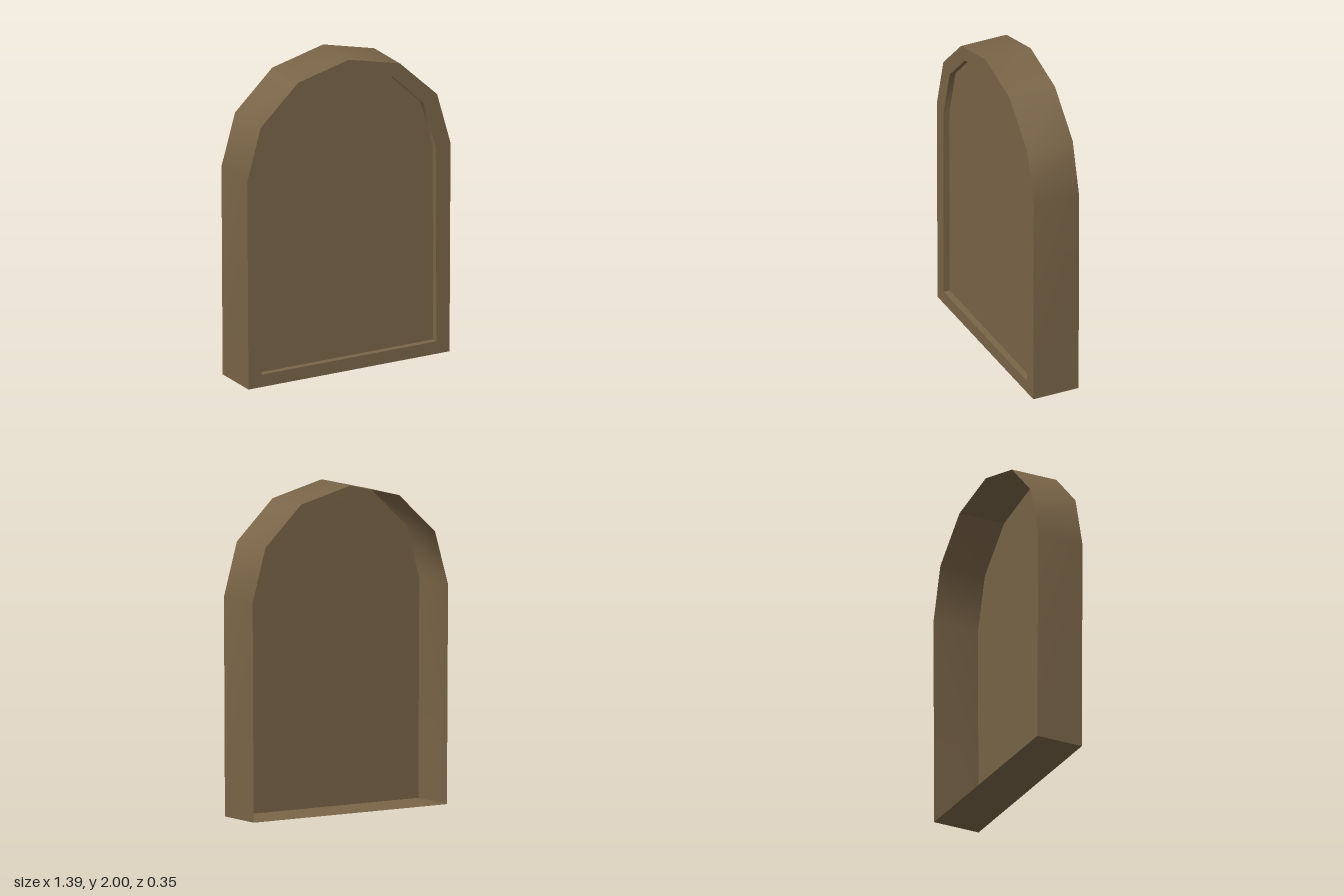
import * as THREE from 'three';

const FRONT = 0.153, BACK = -0.153, RECESS = 0.04;

// Outlines run counter-clockwise seen from the front, starting bottom right
const outer = [[0.69, 0], [0.697, 1.34], [0.605, 1.67], [0.35, 1.913], [0, 2],
  [-0.35, 1.913], [-0.605, 1.67], [-0.698, 1.34], [-0.69, 0]];
const inner = [[0.6, 0.08], [0.597, 1.33], [0.512, 1.63], [0.295, 1.84], [0, 1.915],
  [-0.295, 1.84], [-0.514, 1.63], [-0.6, 1.33], [-0.6, 0.08]];

// The whole slab is slightly skewed in depth
const skew = new THREE.Matrix4().makeShear(0, 0.035, 0, 0, 0, 0);

// Smooth wall along a run of outline points
function wall(points, z0, z1) {
  const pos = [], index = [];
  points.forEach(([x, y], i) => {
    pos.push(x, y, z1, x, y, z0);
    if (i) {
      const a = 2 * i - 2;
      index.push(a, a + 1, a + 3, a, a + 3, a + 2);
    }
  });
  const g = new THREE.BufferGeometry();
  g.setAttribute('position', new THREE.Float32BufferAttribute(pos, 3));
  g.setIndex(index);
  g.computeVertexNormals();
  return g;
}

const toVectors = (points) => points.map(([x, y]) => new THREE.Vector2(x, y));

export function createModel() {
  const group = new THREE.Group();
  group.name = 'archedSlab';
  const brown = new THREE.MeshStandardMaterial({ color: 0x7a6548, side: THREE.DoubleSide });
  brown.name = 'brown';

  const add = (name, geometry) => {
    const mesh = new THREE.Mesh(geometry.applyMatrix4(skew), brown);
    mesh.name = name;
    group.add(mesh);
  };

  // Outer shell, open at the back, creased at the shoulders and base
  add('leftSide', wall(outer.slice(0, 4), BACK, FRONT));
  add('archTop', wall(outer.slice(3, 6), BACK, FRONT));
  add('rightSide', wall(outer.slice(5), BACK, FRONT));
  add('base', wall([outer[8], outer[0]], BACK, FRONT));

  // Front frame
  const frame = new THREE.Shape(toVectors(outer));
  frame.holes.push(new THREE.Path(toVectors(inner)));
  add('frontFrame', new THREE.ShapeGeometry(frame).translate(0, 0, FRONT));

  // Recess walls face inwards
  const reversed = inner.slice().reverse();
  add('recessArch', wall(reversed, FRONT - RECESS, FRONT));
  add('recessSill', wall([inner[0], inner[8]], FRONT - RECESS, FRONT));

  // Sunken panel
  const panel = new THREE.ShapeGeometry(new THREE.Shape(toVectors(inner)));
  add('panel', panel.translate(0, 0, FRONT - RECESS));

  return group;
}
